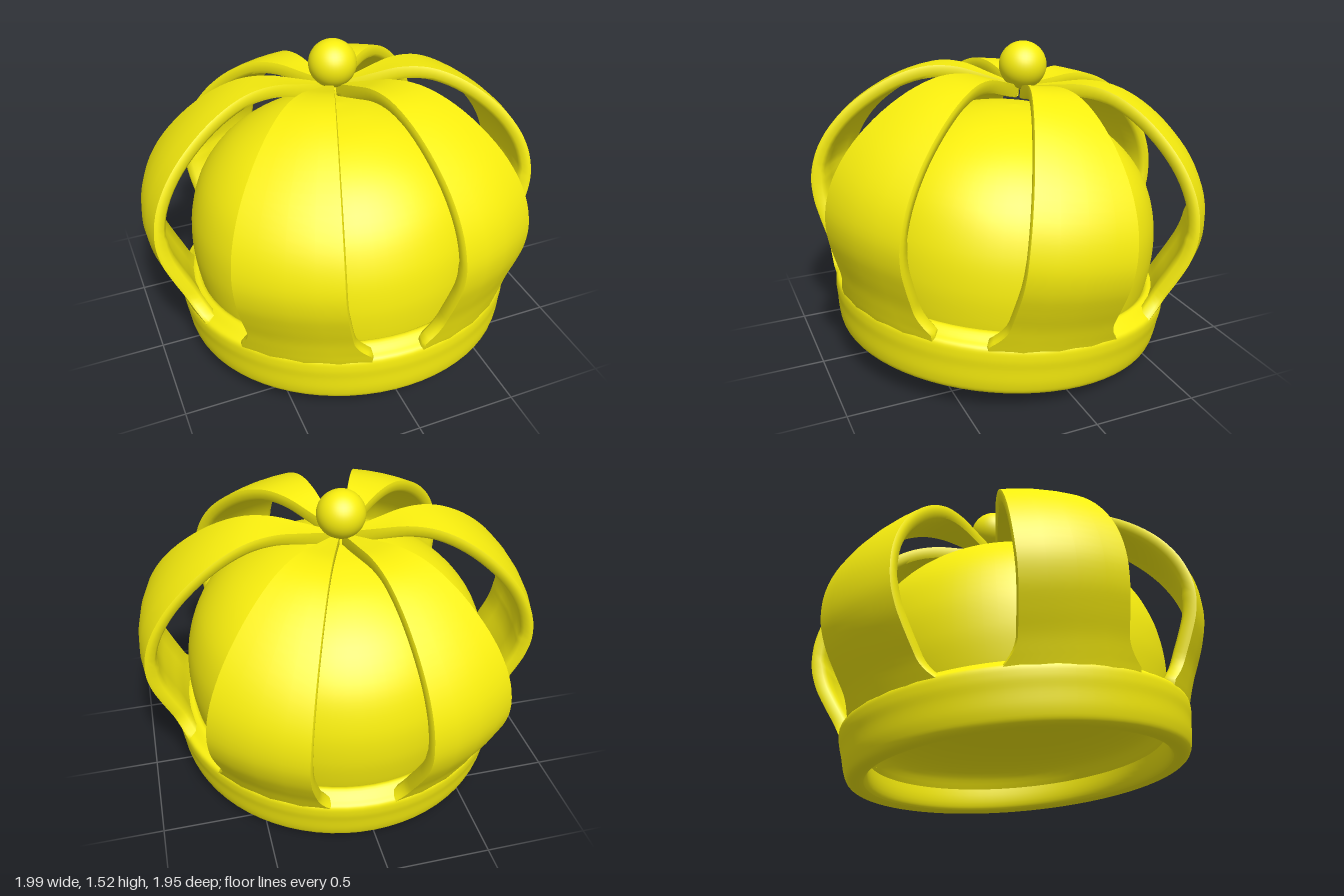
import * as THREE from 'three';
import { toCreasedNormals } from 'three/addons/utils/BufferGeometryUtils.js';

const gold = new THREE.MeshStandardMaterial({ color: 0xf8ee0e, side: THREE.DoubleSide });

const spline = (pts, n, closed = false) =>
  new THREE.CatmullRomCurve3(pts.map(([r, y]) => new THREE.Vector3(r, y, 0)), closed).getPoints(n);

function part(name, geometry) {
  const mesh = new THREE.Mesh(geometry, gold);
  mesh.name = name;
  return mesh;
}

function lathe(pts) {
  return new THREE.LatheGeometry(pts.map((p) => new THREE.Vector2(Math.max(p.x, 0), p.y)), 72);
}

// Curved strap: a rounded wedge section swept up and over to the hub.
function archGeometry() {
  const path = spline([[0.79, 0.12], [0.835, 0.2], [0.864, 0.28], [0.893, 0.36], [0.938, 0.46], [0.98, 0.57],
    [0.997, 0.69], [0.97, 0.84], [0.89, 0.99], [0.765, 1.125], [0.61, 1.235], [0.46, 1.295], [0.32, 1.305],
    [0.18, 1.28], [0.07, 1.258], [0.015, 1.25]], 56);
  // section: [fraction of half angle, depth as fraction of thickness]
  const section = [[-0.97, 0], [-0.5, 0], [0, 0], [0.5, 0], [0.97, 0], [1, 0.2], [0.99, 0.7],
    [0.9, 0.95], [0.45, 1], [0, 1], [-0.45, 1], [-0.9, 0.95], [-0.99, 0.7], [-1, 0.2]];
  const pos = [], index = [], m = section.length;
  path.forEach((p, i) => {
    const a = path[Math.max(i - 1, 0)], b = path[Math.min(i + 1, path.length - 1)];
    const t = b.clone().sub(a).normalize();
    // constant width below the widest point, with a fillet at the band
    const fillet = Math.min(Math.max(0.37 - p.y, 0) / 0.12, 1);
    const half = (p.y < 0.69 ? 0.257 * 0.997 / p.x : 0.257) + 0.08 * fillet * fillet;
    const thick = p.y < 0.7 ? 0.075 : 0.065;
    for (const [u, d] of section) {
      const r = Math.max(p.x - t.y * d * thick, 0.01), y = p.y + t.x * d * thick;
      const ang = u * half;
      pos.push(r * Math.cos(ang), y, r * Math.sin(ang));
    }
    if (i === 0) return;
    for (let j = 0; j < m; j++) {
      const k = (j + 1) % m, lo = (i - 1) * m, hi = i * m;
      index.push(lo + j, hi + j, hi + k, lo + j, hi + k, lo + k);
    }
  });
  const g = new THREE.BufferGeometry();
  g.setAttribute('position', new THREE.Float32BufferAttribute(pos, 3));
  g.setIndex(index);
  return toCreasedNormals(g, 0.9);
}

export function createModel() {
  const model = new THREE.Group();
  model.name = 'crown';

  // whole crown leans back slightly
  const body = new THREE.Group();
  body.name = 'crownBody';
  body.position.set(0, 0.07, 0.058);
  body.rotation.x = -0.088;
  model.add(body);

  // rounded head band, its top sloping in to the cap
  body.add(part('band', lathe(spline([[0.74, 0.01], [0.785, 0], [0.815, 0.015], [0.832, 0.06], [0.843, 0.14],
    [0.852, 0.2], [0.848, 0.245], [0.82, 0.265], [0.768, 0.295], [0.73, 0.25], [0.72, 0.15], [0.722, 0.05]], 60, true))));

  // inner cap
  body.add(part('cap', lathe(spline([[0.73, 0.18], [0.757, 0.32], [0.77, 0.47], [0.753, 0.64], [0.685, 0.82],
    [0.55, 0.975], [0.36, 1.085], [0.17, 1.135], [0, 1.15]], 40))));

  // shallow lining inside the band
  body.add(part('lining', lathe(spline([[0.725, 0.11], [0.67, 0.2], [0.53, 0.28], [0.28, 0.33], [0, 0.345]], 20))));

  // six arches and the ball, leaning a touch further back
  const top = new THREE.Group();
  top.name = 'arches';
  top.position.z = 0.02;
  top.rotation.x = -0.034;
  body.add(top);

  const arch = archGeometry();
  for (let i = 0; i < 6; i++) {
    const strap = part('arch' + (i + 1), arch);
    strap.rotation.y = -(THREE.MathUtils.degToRad(4.7) + (i * Math.PI) / 3);
    top.add(strap);
  }

  const ball = part('ball', new THREE.SphereGeometry(0.117, 40, 24));
  ball.position.y = 1.347;
  top.add(ball);

  return model;
}
